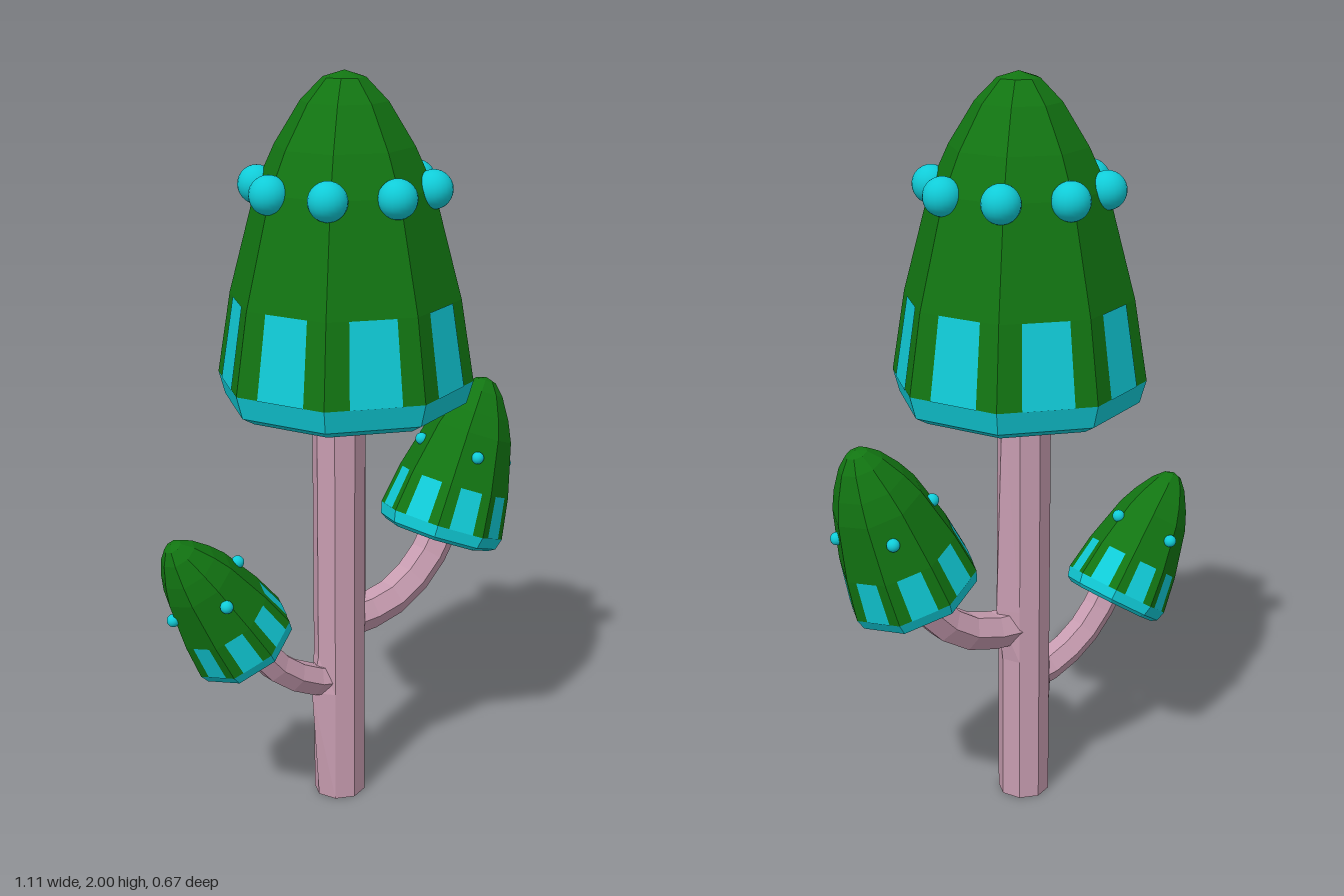
import * as THREE from 'three';

const mat = (color, flatShading = true) => new THREE.MeshStandardMaterial({ color, flatShading });
const green = mat(0x127512);
const cyan = mat(0x10ccd8);
const beadCyan = mat(0x10ccd8, false);
const pink = mat(0xc79cb0);
const SIDES = 8;

// Cap profile as [radius, height]; the rim ends where the dome begins
const rimProfile = [[0, 0], [0.285, 0], [0.32, 0.02], [0.337, 0.08]];
const domeProfile = [[0.337, 0.08], [0.302, 0.295], [0.228, 0.575], [0.18, 0.68],
  [0.112, 0.79], [0.055, 0.848], [0, 0.865]];

function mesh(name, geometry, material) {
  const m = new THREE.Mesh(geometry, material);
  m.name = name;
  return m;
}

function lathe(profile) {
  return new THREE.LatheGeometry(profile.map(([r, y]) => new THREE.Vector2(r, y)), SIDES);
}

// One flat patch in the middle of each lower face of the dome
function patchGeometry() {
  const corner = (k, [r, y]) => {
    const a = (k / SIDES) * Math.PI * 2;
    return new THREE.Vector3(Math.sin(a) * r * 1.008, y, Math.cos(a) * r * 1.008);
  };
  const positions = [];
  for (let k = 0; k < SIDES; k++) {
    const at = (t, p) => corner(k, p).lerp(corner(k + 1, p), t);
    const [low, high] = domeProfile;
    const a = at(0.25, low), b = at(0.77, low), c = at(0.77, high), d = at(0.25, high);
    for (const v of [a, b, c, a, c, d]) positions.push(v.x, v.y, v.z);
  }
  const g = new THREE.BufferGeometry();
  g.setAttribute('position', new THREE.Float32BufferAttribute(positions, 3));
  g.computeVertexNormals();
  return g;
}

function makeCap(name, { position, tilt = 0, width = 1, height = 1, beads }) {
  const cap = new THREE.Group();
  cap.name = name;
  const shell = new THREE.Group();
  shell.name = name + 'Shell';
  shell.scale.set(width, height, width);
  shell.add(
    mesh('capRim', lathe(rimProfile), cyan),
    mesh('capDome', lathe(domeProfile), green),
    mesh('capPatches', patchGeometry(), cyan),
  );
  cap.add(shell);

  // Ring of beads half sunk into the dome
  const sphere = new THREE.SphereGeometry(beads.size, 20, 14);
  for (let i = 0; i < beads.count; i++) {
    const a = beads.start + (i / beads.count) * Math.PI * 2;
    const bead = mesh('bead', sphere, beadCyan);
    bead.position.set(Math.cos(a) * beads.radius, beads.y, Math.sin(a) * beads.radius);
    cap.add(bead);
  }
  cap.position.set(...position);
  cap.rotation.z = tilt;
  return cap;
}

// Trunk with small swellings where the branches leave it
function makeTrunk() {
  const r = 0.071;
  const g = lathe([[0, 0], [r, 0], [r, 0.32], [r, 0.42], [r, 0.57], [r, 1.16]]);
  const p = g.attributes.position;
  for (let i = 0; i < p.count; i++) {
    const x = p.getX(i), y = p.getY(i);
    if (x < -0.06 && Math.abs(y - 0.32) < 0.01) p.setX(i, x - 0.022);
    if (x > 0.06 && Math.abs(y - 0.57) < 0.01) p.setX(i, x + 0.02);
  }
  const trunk = mesh('trunk', g, pink);
  trunk.position.set(-0.02, 0, -0.024);
  return trunk;
}

function makeBranch(name, points, radius) {
  const curve = new THREE.CatmullRomCurve3(points.map(([x, y]) => new THREE.Vector3(x, y, -0.026)));
  return mesh(name, new THREE.TubeGeometry(curve, 5, radius, 6), pink);
}

export function createModel() {
  const model = new THREE.Group();
  model.name = 'mushroomTree';
  model.add(
    makeTrunk(),
    makeBranch('rightBranch', [[-0.03, 0.345], [-0.1, 0.357], [-0.2, 0.408], [-0.265, 0.47], [-0.32, 0.55]], 0.045),
    makeBranch('leftBranch', [[0, 0.51], [0.08, 0.515], [0.185, 0.545], [0.28, 0.62], [0.34, 0.71]], 0.052),
    makeCap('mainCap', {
      position: [-0.018, 1.135, 0],
      beads: { count: 8, size: 0.05, radius: 0.227, y: 0.575, start: 0.03 },
    }),
    makeCap('leftCap', {
      position: [0.326, 0.685, -0.027], tilt: -0.378, width: 0.53, height: 0.54,
      beads: { count: 4, size: 0.017, radius: 0.13, y: 0.25, start: 0.42 },
    }),
    makeCap('rightCap', {
      position: [-0.308, 0.506, -0.048], tilt: 0.578, width: 0.44, height: 0.47,
      beads: { count: 4, size: 0.017, radius: 0.113, y: 0.225, start: 0.08 },
    }),
  );
  return model;
}
